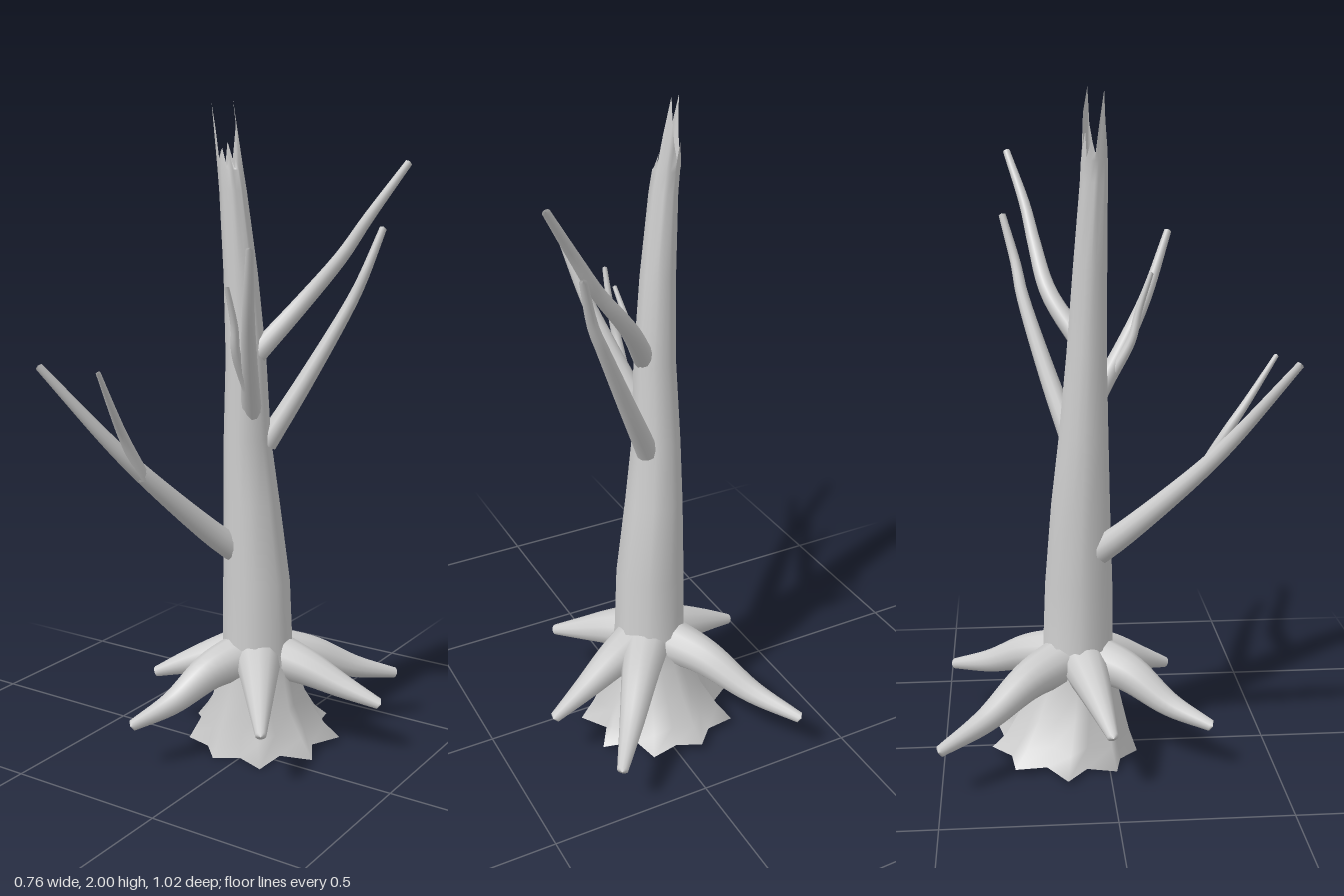
import * as THREE from 'three';

const bark = new THREE.MeshStandardMaterial({ color: 0xcccccc, side: THREE.DoubleSide });
bark.name = 'pale bark';

const SIDES = 18;

// Trunk rings: y, centre x, centre z, radius x, radius z, flute depth
const RINGS = [
  [0.015, -0.03, -0.13, 0.215, 0.21, 0.13],
  [0.07, -0.03, -0.12, 0.18, 0.18, 0.11],
  [0.15, -0.025, -0.105, 0.14, 0.15, 0.08],
  [0.24, -0.02, -0.095, 0.12, 0.122, 0.06],
  [0.34, -0.02, -0.086, 0.106, 0.106, 0.04],
  [0.55, -0.023, -0.083, 0.101, 0.101, 0.04],
  [0.8, -0.037, -0.077, 0.083, 0.087, 0.04],
  [1.0, -0.047, -0.068, 0.069, 0.073, 0.04],
  [1.25, -0.046, -0.058, 0.059, 0.058, 0.05],
  [1.5, -0.058, -0.048, 0.048, 0.048, 0.07],
  [1.74, -0.078, -0.038, 0.037, 0.038, 0.09],
  [1.8, -0.086, -0.037, 0.034, 0.036, 0.1],
];

// Heights of the broken rim; two long splinters stand opposite each other
const RIM = [1.83, 1.8, 1.84, 1.81, 1.86, 1.83, 1.91, 1.99, 1.9, 1.82,
  1.86, 1.81, 1.88, 1.83, 1.87, 1.93, 2.0, 1.9];

function trunkGeometry() {
  const pos = [], index = [];
  const addRing = ([y, cx, cz, rx, rz, flute], rim) => {
    for (let k = 0; k < SIDES; k++) {
      const a = (k / SIDES) * Math.PI * 2;
      const f = 1 + flute * (k % 2 ? 1 : -1) + flute * 0.4 * Math.sin(k * 2.3);
      const x = cx + rx * f * Math.cos(a), z = cz + rz * f * Math.sin(a);
      let h = y;
      if (rim) h = rim[k];
      else if (y < 0.05) h = Math.max(0, y - 0.065 * (z + 0.13)); // foot rises to the back
      const lean = rim ? -(h - 1.8) * 0.09 : 0;
      pos.push(x + lean, h, z);
    }
  };
  RINGS.forEach((r) => addRing(r));
  addRing([0, -0.092, -0.036, 0.031, 0.034, 0.08], RIM);
  for (let j = 0; j < RINGS.length; j++) {
    for (let k = 0; k < SIDES; k++) {
      const a = j * SIDES + k, b = j * SIDES + ((k + 1) % SIDES);
      index.push(a, a + SIDES, b, b, a + SIDES, b + SIDES);
    }
  }
  const g = new THREE.BufferGeometry();
  g.setAttribute('position', new THREE.Float32BufferAttribute(pos, 3));
  g.setIndex(index);
  g.computeVertexNormals();
  return g;
}

// Tapered limb along a smooth path, closed with a blunt tip
function limb(name, points, r0, r1) {
  const curve = new THREE.CatmullRomCurve3(points.map((p) => new THREE.Vector3(...p)));
  const N = 20, R = 12;
  const g = new THREE.TubeGeometry(curve, N, 1, R, false);
  const pos = g.attributes.position, nor = g.attributes.normal;
  const v = new THREE.Vector3();
  for (let i = 0; i <= N; i++) {
    const u = Math.min(1, i / (N - 1));
    const c = curve.getPointAt(u);
    if (i === N) c.addScaledVector(curve.getTangentAt(1), r1 * 0.4);
    const r = i === N ? 0 : r0 + (r1 - r0) * u;
    for (let k = 0; k <= R; k++) {
      const n = i * (R + 1) + k;
      v.fromBufferAttribute(nor, n).multiplyScalar(r).add(c);
      pos.setXYZ(n, v.x, v.y, v.z);
    }
  }
  const mesh = new THREE.Mesh(g, bark);
  mesh.name = name;
  return mesh;
}

export function createModel() {
  const group = new THREE.Group();
  group.name = 'deadTree';

  const trunk = new THREE.Mesh(trunkGeometry(), bark);
  trunk.name = 'trunk';
  group.add(trunk);

  // Roots fan out around the trunk and droop towards their tips
  const rootTips = [
    [-0.33, 0.15, -0.5], [0.27, 0.165, -0.475], [0.36, 0.18, -0.19],
    [0.18, 0.185, 0.21], [-0.225, 0.15, 0.3], [-0.36, 0.19, -0.005],
  ];
  const cx = -0.02, cz = -0.086;
  for (const [x, y, z] of rootTips) {
    const dx = x - cx, dz = z - cz, len = Math.hypot(dx, dz);
    const s = 0.05 / len;
    const at = (t, h) => [cx + dx * t, h, cz + dz * t];
    group.add(limb('root', [
      at(s, 0.305), at(s + (1 - s) * 0.3, 0.275),
      at(s + (1 - s) * 0.65, y + 0.045), [x, y, z],
    ], 0.075, 0.017));
  }

  // Branches and their twigs
  group.add(
    limb('lowBranch', [[-0.06, 0.64, -0.04], [-0.1, 0.71, 0.04], [-0.195, 0.92, 0.25],
      [-0.25, 1.03, 0.34], [-0.37, 1.265, 0.5]], 0.042, 0.011),
    limb('lowTwig', [[-0.195, 0.92, 0.26], [-0.205, 1.05, 0.335], [-0.195, 1.13, 0.39],
      [-0.178, 1.26, 0.475]], 0.02, 0.007),
    limb('frontBranch', [[-0.02, 1.07, -0.05], [0.045, 1.27, 0.065], [0.085, 1.4, 0.13],
      [0.135, 1.59, 0.2]], 0.032, 0.011),
    limb('frontTwig', [[0.012, 1.17, 0.02], [0.01, 1.28, 0.08], [0.018, 1.36, 0.1],
      [0.018, 1.475, 0.138]], 0.018, 0.007),
    limb('backBranch', [[0.0, 0.98, -0.1], [0.09, 1.16, -0.165], [0.205, 1.4, -0.24],
      [0.24, 1.48, -0.255], [0.285, 1.63, -0.295]], 0.034, 0.011),
    limb('highBranch', [[-0.01, 1.26, -0.06], [0.09, 1.41, -0.16], [0.2, 1.55, -0.2],
      [0.27, 1.66, -0.225], [0.372, 1.82, -0.278]], 0.032, 0.011),
  );
  return group;
}
